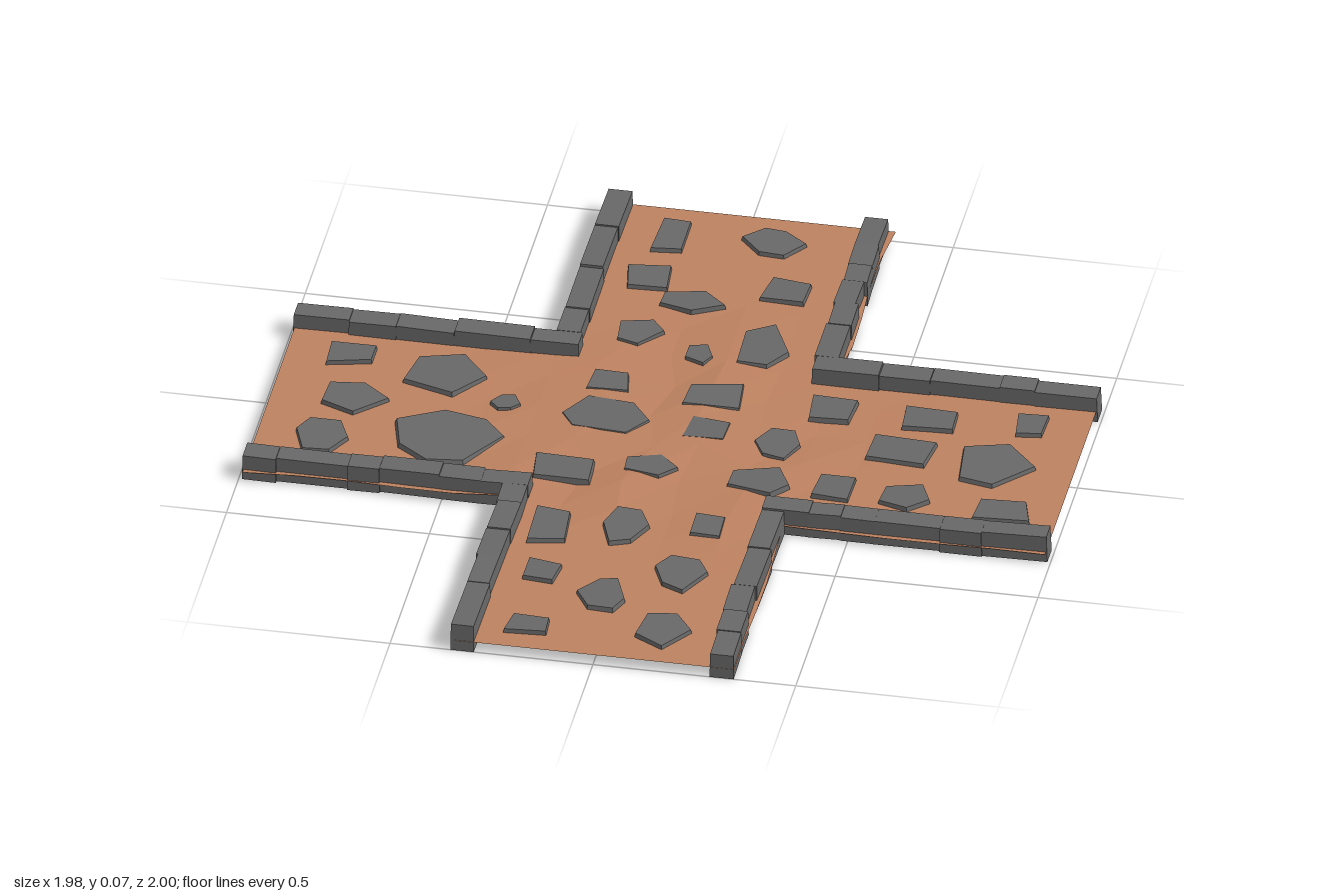
import * as THREE from 'three';
import { mergeGeometries } from 'three/addons/utils/BufferGeometryUtils.js';

const stoneMat = new THREE.MeshStandardMaterial({ color: 0x686868, flatShading: true, side: THREE.DoubleSide });
const dirtMat = new THREE.MeshStandardMaterial({ color: 0xbd8260, flatShading: true, side: THREE.DoubleSide });

// Repeatable noise from a position, 0..1
const hash = (a, b) => {
  const s = Math.sin(a * 127.1 + b * 311.7 + 4.3) * 43758.5453;
  return s - Math.floor(s);
};

// Open-bottomed block: outline [x, z] at y0, top outline scaled by taper; topY(x, z) gives its height
function openBlock(outline, cx, cz, y0, topY, taper) {
  const n = outline.length, pos = [], index = [];
  for (const [x, z] of outline) pos.push(x, y0, z);
  for (const [x, z] of outline) {
    const tx = cx + (x - cx) * taper, tz = cz + (z - cz) * taper;
    pos.push(tx, topY(tx, tz), tz);
  }
  pos.push(cx, topY(cx, cz), cz);
  for (let i = 0; i < n; i++) {
    const j = (i + 1) % n;
    index.push(i, i + n, j, j, i + n, j + n, i + n, 2 * n, j + n);
  }
  const g = new THREE.BufferGeometry();
  g.setAttribute('position', new THREE.Float32BufferAttribute(pos, 3));
  g.setIndex(index);
  g.computeVertexNormals();
  return g;
}

// Irregular polygon fitted to a width and depth
function pavingStone([x, z, w, d, sides]) {
  const pts = [];
  for (let i = 0; i < sides; i++) {
    const wobble = (hash(x + i, z) - 0.5) * 0.45;
    const a = -((i + (sides === 4 ? 0.5 : 0)) / sides) * Math.PI * 2 + wobble;
    const r = 0.88 + 0.24 * hash(z - i, x);
    pts.push([Math.cos(a) * r, Math.sin(a) * r]);
  }
  const fit = (k, c, size) => {
    const v = pts.map(p => p[k]), lo = Math.min(...v), hi = Math.max(...v);
    return v.map(q => c + ((q - lo) / (hi - lo) - 0.5) * size);
  };
  const xs = fit(0, x, w), zs = fit(1, z, d);
  const slope = (hash(x, z) - 0.5) * 0.04;
  const top = (px, pz) => 0.039 + (px - x) * slope + (pz - z) * slope * 0.7;
  return openBlock(xs.map((v, i) => [v, zs[i]]), x, z, 0.012, top, 0.92);
}

// Paving stones: x, z, width, depth, sides
const paving = {
  backArmStones: [
    [-.17, -.87, .08, .15, 4], [.08, -.885, .17, .12, 6], [-.19, -.68, .12, .11, 4], [.15, -.68, .12, .11, 4],
    [-.06, -.59, .17, .1, 5], [-.16, -.43, .12, .12, 5], [0, -.36, .07, .09, 5], [.15, -.43, .13, .2, 5]],
  rightArmStones: [
    [-.83, -.2, .12, .1, 4], [-.585, -.16, .21, .19, 5], [-.78, -.01, .17, .14, 5], [-.42, -.06, .08, .07, 6],
    [-.83, .17, .14, .15, 6], [-.53, .12, .29, .24, 7]],
  centreStones: [
    [-.19, -.2, .11, .09, 4], [.07, -.19, .15, .12, 4], [-.17, -.05, .23, .16, 6], [.08, -.035, .11, .1, 4],
    [.26, 0, .12, .14, 6], [-.23, .2, .16, .11, 4], [-.02, .15, .14, .1, 5], [.25, .165, .16, .13, 5]],
  leftArmStones: [
    [.36, -.18, .12, .11, 4], [.6, -.18, .14, .1, 4], [.845, -.2, .08, .1, 4], [.56, -.03, .17, .12, 4],
    [.8, -.01, .2, .2, 5], [.43, .165, .1, .11, 4], [.61, .17, .13, .12, 5], [.855, .19, .15, .1, 4]],
  frontArmStones: [
    [-.21, .46, .1, .16, 4], [-.03, .43, .12, .17, 6], [.165, .39, .08, .1, 4], [-.19, .66, .09, .1, 4],
    [.14, .615, .14, .16, 6], [-.03, .735, .13, .15, 6], [-.18, .905, .11, .08, 4], [.15, .87, .14, .16, 5]],
};

// Crossing of two dirt paths, crumpled towards the middle with ragged long edges
function dirtGeometry() {
  const E = 0.345, arm = 1 - E, mid = E + arm / 2;
  const tiles = [[0, 0, 2 * E, 2 * E], [0, -mid, 2 * E, arm], [0, mid, 2 * E, arm], [-mid, 0, arm, 2 * E], [mid, 0, arm, 2 * E]];
  const g = mergeGeometries(tiles.map(([x, z, w, d]) =>
    new THREE.PlaneGeometry(w, d, 5, 5).rotateX(-Math.PI / 2).translate(x, 0, z)));
  const p = g.attributes.position;
  for (let i = 0; i < p.count; i++) {
    const x = Math.round(p.getX(i) * 1000) / 1000, z = Math.round(p.getZ(i) * 1000) / 1000;
    const crumple = Math.max(0, 1 - Math.hypot(x, z) / 0.65);
    const y = 0.028 + (hash(x, z) - 0.45) * 0.032 * crumple;
    const onEdge = v => Math.abs(Math.abs(v) - E) < 0.002;
    let nx = x * 0.988, nz = z;
    if (onEdge(x) && Math.abs(z) > E + 0.01) nx += Math.sign(x) * 0.018 * hash(z, x);
    else if (onEdge(z) && Math.abs(x) > E + 0.01) nz += Math.sign(z) * 0.014 * hash(x, z);
    // loose vertices inside the crossing
    else if (Math.max(Math.abs(x), Math.abs(z)) < E - 0.01) {
      nx += (hash(x + 3, z) - 0.5) * 0.09;
      nz += (hash(x, z + 3) - 0.5) * 0.09;
    }
    p.setXYZ(i, nx, y, nz);
  }
  g.computeVertexNormals();
  return g;
}

// Row of uneven kerb blocks from start to end; alongX picks the direction, off is its centre line
function kerbRow(start, end, off, alongX) {
  const blocks = [], dir = Math.sign(end - start);
  let a = start, k = 0;
  while (Math.abs(end - a) > 0.01) {
    const rnd = s => hash(off * 7 + k * 1.7 + s, start * 3 + (alongX ? 1 : 0));
    let len = 0.07 + 0.12 * rnd(1);
    if (Math.abs(end - a) - len < 0.06) len = Math.abs(end - a);
    const b = a + dir * len, lo = Math.min(a, b) - 0.002, hi = Math.max(a, b) + 0.002;
    const h = 0.0285 + 0.003 * rnd(2), c = off + (rnd(3) - 0.5) * 0.007;
    const skew = (rnd(4) - 0.5) * 0.007;
    let outline = [[lo, c - h + skew], [lo, c + h], [hi, c + h - skew], [hi, c - h]];
    let cx = (lo + hi) / 2, cz = c;
    if (alongX) outline.reverse();
    else {
      outline = outline.map(([u, v]) => [v, u]);
      [cx, cz] = [cz, cx];
    }
    const height = 0.064 + 0.006 * rnd(5), tilt = (rnd(6) - 0.5) * 0.04;
    // outline order must run so the walls face outwards
    outline.reverse();
    if (alongX) outline = outline.slice();
    const area = outline.reduce((s, q, i) => {
      const r = outline[(i + 1) % 4];
      return s + q[0] * r[1] - r[0] * q[1];
    }, 0);
    if (area > 0) outline.reverse();
    blocks.push(openBlock(outline, cx, cz, 0, (x, z) => height + ((alongX ? x - cx : z - cz)) * tilt, 0.965));
    a = b;
    k++;
  }
  return mergeGeometries(blocks);
}

export function createModel() {
  const model = new THREE.Group();
  model.name = 'stonePathCrossing';
  const add = (name, geometry, material, parent = model) => {
    const m = new THREE.Mesh(geometry, material);
    m.name = name;
    parent.add(m);
  };

  add('dirtPath', dirtGeometry(), dirtMat);
  for (const [name, list] of Object.entries(paving)) add(name, mergeGeometries(list.map(pavingStone)), stoneMat);

  // Two kerb rows meet at each inner corner
  for (const [sx, side] of [[-1, 'Right'], [1, 'Left']]) {
    for (const [sz, face] of [[-1, 'back'], [1, 'front']]) {
      const kerb = new THREE.Group();
      kerb.name = `${face}${side}Kerb`;
      const x = sx < 0 ? -0.32 : 0.313, z = sz < 0 ? -0.328 : 0.312;
      add('sideArmKerb', kerbRow(sx * 0.288, sx * 0.99, z, true), stoneMat, kerb);
      add('mainArmKerb', kerbRow(z + sz * 0.028, sz * 0.998, x, false), stoneMat, kerb);
      model.add(kerb);
    }
  }
  return model;
}
